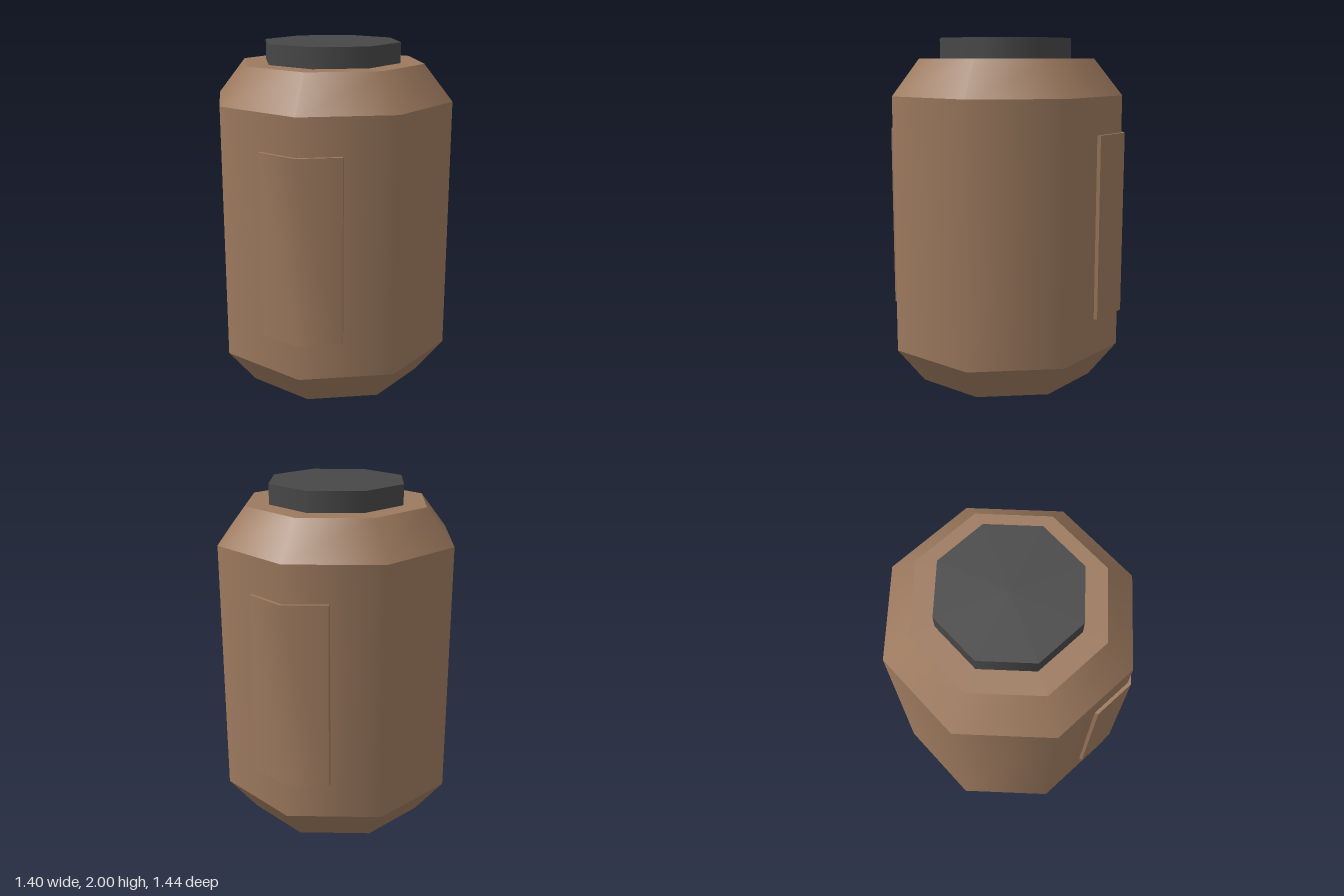
import * as THREE from 'three';
import { toCreasedNormals } from 'three/addons/utils/BufferGeometryUtils.js';

export function createModel() {
  const model = new THREE.Group();
  model.name = 'canister';

  const brown = new THREE.MeshStandardMaterial({ name: 'brown', color: 0x9c795e });
  const charcoal = new THREE.MeshStandardMaterial({ name: 'charcoal', color: 0x474747 });

  // Octagonal section, smooth around the axis and sharp at its rims
  function section(name, y0, y1, r0, r1, material, open = false) {
    const geometry = new THREE.CylinderGeometry(r1, r0, y1 - y0, 8, 1, open);
    const mesh = new THREE.Mesh(geometry, material);
    mesh.name = name;
    mesh.position.y = (y0 + y1) / 2;
    model.add(mesh);
  }

  section('baseTaper', 0, 0.21, 0.535, 0.7, brown);
  section('barrel', 0.21, 1.68, 0.7, 0.7, brown, true);
  section('shoulder', 1.68, 1.885, 0.7, 0.535, brown);
  section('lid', 1.885, 2, 0.4, 0.4, charcoal);

  // Raised panels folded over the front and back corners of the barrel
  const half = 0.23;
  const drop = half * Math.tan(Math.PI / 8);
  const outer = 0.72, inner = 0.69;
  const outline = new THREE.Shape([
    [0, -outer], [half, drop - outer], [half, drop - inner],
    [0, -inner], [-half, drop - inner], [-half, drop - outer],
  ].map(([x, y]) => new THREE.Vector2(x, y)));
  const panel = toCreasedNormals(
    new THREE.ExtrudeGeometry(outline, { depth: 1.05, bevelEnabled: false }).rotateX(-Math.PI / 2),
    Math.PI * 0.3
  );
  ['frontPanel', 'backPanel'].forEach((name, i) => {
    const mesh = new THREE.Mesh(panel, brown);
    mesh.name = name;
    mesh.position.y = 0.42;
    mesh.rotation.y = i * Math.PI;
    model.add(mesh);
  });

  return model;
}
